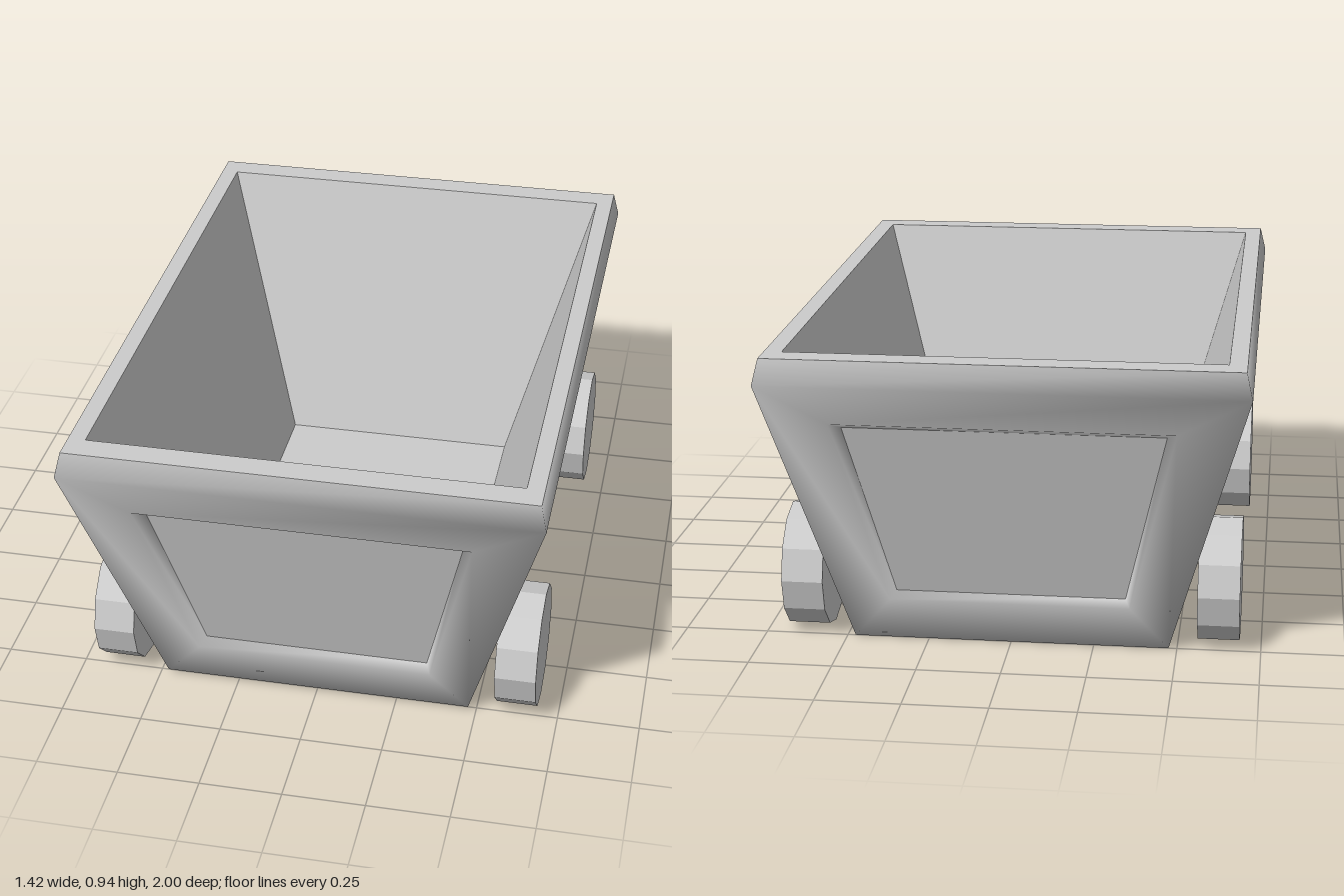
import * as THREE from 'three';
import { mergeVertices } from 'three/addons/utils/BufferGeometryUtils.js';

const material = new THREE.MeshStandardMaterial({ color: 0xcccccc });

// Four corners of a level rectangle, counter-clockwise seen from above
const rect = (x, y, z) => [[-x, y, z], [x, y, z], [x, y, -z], [-x, y, -z]];

// Mesh from four-cornered faces, either smooth across shared corners or flat
function quadMesh(name, quads, smooth) {
  const points = quads.flatMap(([a, b, c, d]) => [a, b, c, a, c, d]).flat();
  let geometry = new THREE.BufferGeometry();
  geometry.setAttribute('position', new THREE.Float32BufferAttribute(points, 3));
  if (smooth) geometry = mergeVertices(geometry, 1e-4);
  geometry.computeVertexNormals();
  const mesh = new THREE.Mesh(geometry, material);
  mesh.name = name;
  return mesh;
}

// Faces joining two loops of four corners
const bridge = (a, b) => a.map((p, i) => {
  const j = (i + 1) % 4;
  return [p, a[j], b[j], b[i]];
});

export function createModel() {
  const model = new THREE.Group();
  model.name = 'cart';

  // Tub outline: bottom, widest line, rim edge, inner rim, inner floor
  const bottom = rect(0.475, 0.01, 0.76);
  const shoulder = rect(0.71, 0.855, 1.0);
  const rimOuter = rect(0.692, 0.933, 0.985);
  const rimInner = rect(0.64, 0.933, 0.905);
  const floor = rect(0.385, 0.06, 0.652);

  const shell = [...bridge(shoulder, rimOuter), [...bottom].reverse()];
  const panels = [];

  // Each side: a sloped frame, a bevelled lip and a recessed panel
  for (let i = 0; i < 4; i++) {
    const j = (i + 1) % 4;
    const end = i % 2 === 0;
    const angle = i * Math.PI / 2;
    const c = Math.round(Math.cos(angle)), s = Math.round(Math.sin(angle));
    const place = (u, y, depth) => {
      const out = (end ? 0.76 : 0.475) + (end ? 0.284 : 0.278) * (y - 0.01) - depth;
      return [c * u + s * out, y, c * out - s * u];
    };
    const trapezoid = (low, yLow, high, yHigh, depth) => [
      place(-low, yLow, depth), place(low, yLow, depth),
      place(high, yHigh, depth), place(-high, yHigh, depth)];

    const frame = [bottom[i], bottom[j], shoulder[j], shoulder[i]];
    const opening = end ? trapezoid(0.36, 0.145, 0.5, 0.738, 0)
      : trapezoid(0.665, 0.143, 0.828, 0.736, 0);
    const panel = end ? trapezoid(0.345, 0.163, 0.47, 0.717, 0.04)
      : trapezoid(0.65, 0.16, 0.802, 0.715, 0.04);
    shell.push(...bridge(frame, opening), ...bridge(opening, panel));
    panels.push(panel);
  }

  // The tub leans back very slightly
  const tub = new THREE.Group();
  tub.name = 'tub';
  tub.add(
    quadMesh('outerShell', shell, true),
    quadMesh('sidePanels', panels, false),
    quadMesh('rim', bridge(rimOuter, rimInner), false),
    quadMesh('interior', [...bridge(rimInner, floor), floor], false));
  tub.rotation.x = -0.006;
  tub.position.z = 0.004;
  model.add(tub);

  // Four twelve-sided wheels
  const wheelGeometry = new THREE.CylinderGeometry(0.19, 0.19, 0.125, 12).toNonIndexed();
  wheelGeometry.rotateZ(Math.PI / 2);
  wheelGeometry.computeVertexNormals();
  for (const x of [-1, 1]) {
    for (const z of [0.64, -0.63]) {
      const wheel = new THREE.Mesh(wheelGeometry, material);
      wheel.name = (z > 0 ? 'front' : 'back') + (x > 0 ? 'Left' : 'Right') + 'Wheel';
      wheel.position.set(x * 0.623, 0.193, z);
      model.add(wheel);
    }
  }
  return model;
}
